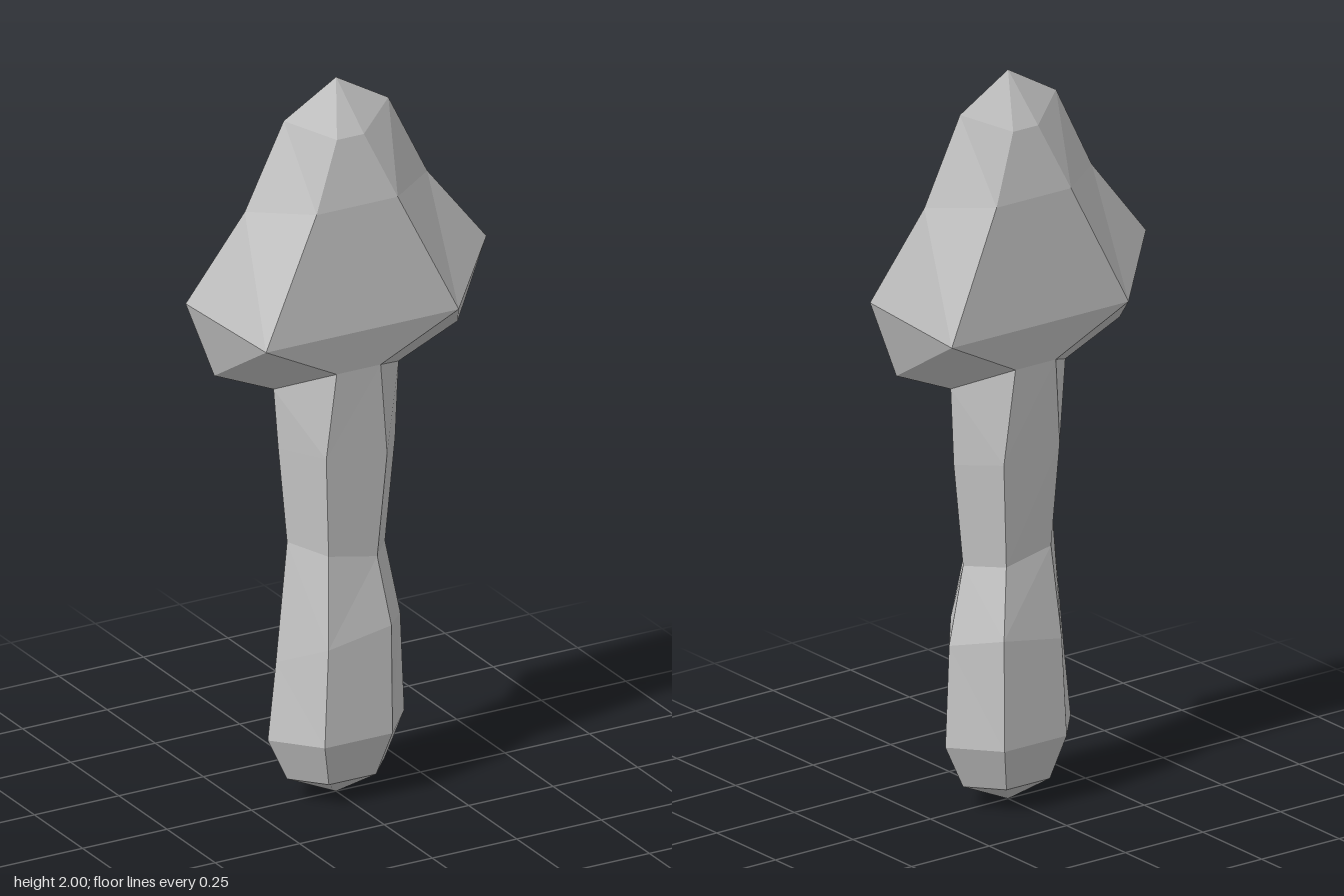
import * as THREE from 'three';

// Six-sided cross-sections, bottom to top:
// side half-width, side height, face half-width, face height, half-depth, tilt, x shift
const handleRings = [
  [0, 0, 0, 0, 0],
  [0.145, 0.065, 0.07, 0.065, 0.086],
  [0.202, 0.185, 0.1, 0.185, 0.118],
  [0.184, 0.43, 0.093, 0.47, 0.114, 0.17, 0.006],
  [0.145, 0.70, 0.072, 0.69, 0.088, -0.2],
  [0.173, 0.975, 0.09, 0.975, 0.104, -0.12, 0.002],
  [0.185, 1.165, 0.065, 1.225, 0.118],
];
const bladeRings = [
  handleRings[handleRings.length - 1],
  [0.36, 1.24, 0.285, 1.34, 0.137],
  [0.445, 1.46, 0.285, 1.34, 0.137],
  [0.27, 1.68, 0.12, 1.68, 0.11],
  [0.155, 1.91, 0.04, 1.86, 0.075],
  [0, 2, 0, 2, 0],
];

// Corners of one cross-section, counter-clockwise seen from above
function ringCorners([w, yw, f, yf, d, tilt = 0, shift = 0]) {
  return [[w, yw, 0], [f, yf, -d], [-f, yf, -d], [-w, yw, 0], [-f, yf, d], [f, yf, d]]
    .map(([x, y, z]) => new THREE.Vector3(x + shift, y + tilt * x, z));
}

// Faceted skin through the cross-sections, leaving out collapsed triangles
function loft(name, rings, material) {
  const points = [];
  const addTriangle = (a, b, c) => {
    if (new THREE.Triangle(a, b, c).getArea() > 1e-6) points.push(a, b, c);
  };
  const corners = rings.map(ringCorners);
  for (let r = 0; r < corners.length - 1; r++) {
    const low = corners[r], high = corners[r + 1];
    for (let i = 0; i < 6; i++) {
      const j = (i + 1) % 6;
      if (i % 3 === 0) { // mirrored diagonals keep all four quarters alike
        addTriangle(low[i], low[j], high[i]);
        addTriangle(low[j], high[j], high[i]);
      } else {
        addTriangle(low[i], low[j], high[j]);
        addTriangle(low[i], high[j], high[i]);
      }
    }
  }
  const geometry = new THREE.BufferGeometry().setFromPoints(points);
  geometry.computeVertexNormals();
  const mesh = new THREE.Mesh(geometry, material);
  mesh.name = name;
  return mesh;
}

export function createModel() {
  const material = new THREE.MeshStandardMaterial({ color: 0xcccccc, flatShading: true });
  const group = new THREE.Group();
  group.name = 'dagger';
  group.add(loft('handle', handleRings, material), loft('blade', bladeRings, material));
  return group;
}
